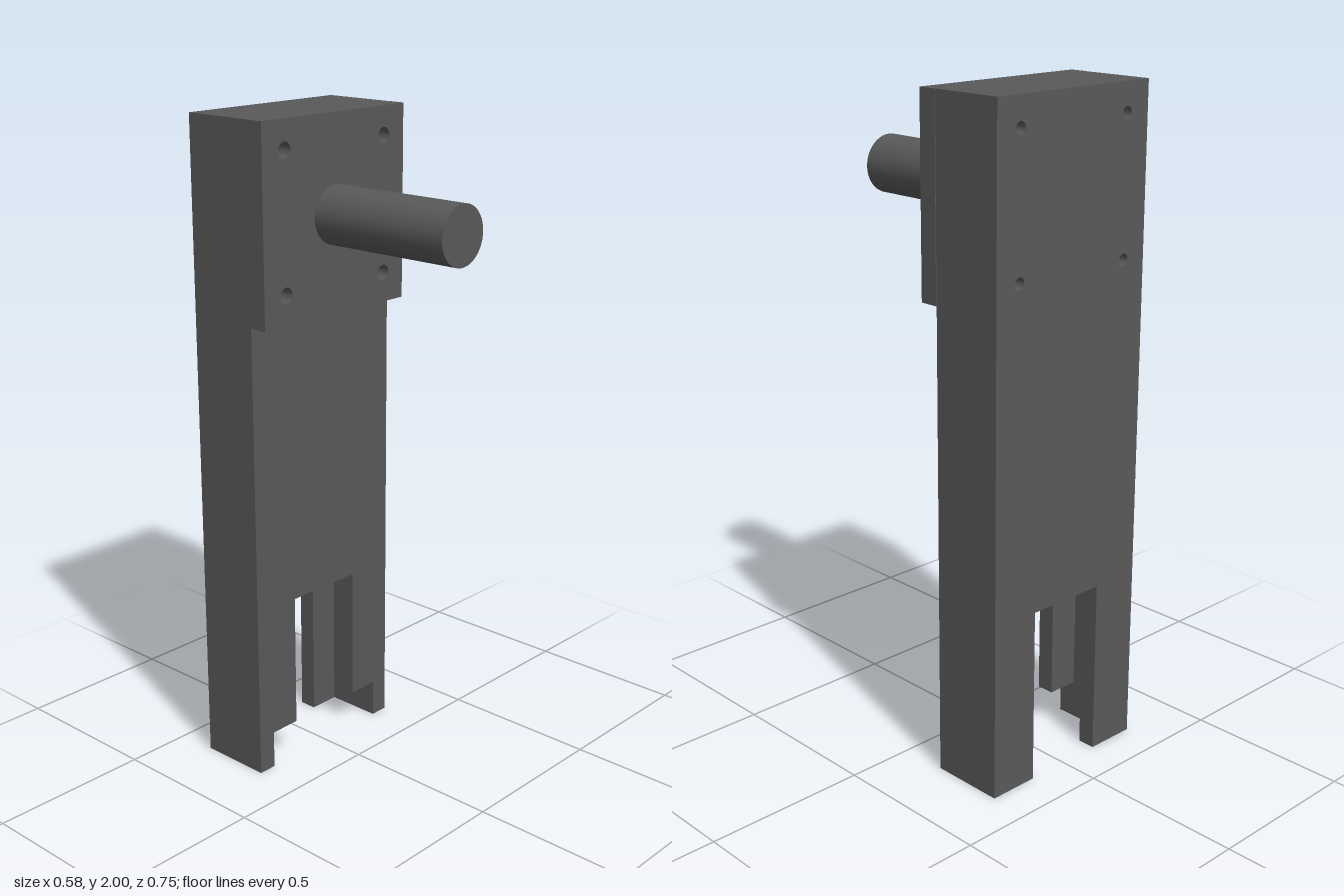
import * as THREE from 'three';

const W = 0.288, PLATE_W = 0.29, BACK = -0.377, FRONT = -0.146, PLATE = -0.088;
const SLOT = 0.13, CHANNEL = 0.23, WALL = 0.055;
const SLOT_TOP = 0.537, NOTCH_TOP = 0.118, PLATE_BOTTOM = 1.42;

export function createModel() {
  const group = new THREE.Group();
  const material = new THREE.MeshStandardMaterial({ color: 0x595959 });

  const add = (name, geometry) => {
    const mesh = new THREE.Mesh(geometry, material);
    mesh.name = name;
    group.add(mesh);
    return mesh;
  };

  // Upright slab between two heights and depths, drilled with four screw holes
  const drilledSlab = (name, w, y0, z0, z1, holeRadius) => {
    const shape = new THREE.Shape([[-w, y0], [w, y0], [w, 2], [-w, 2]].map(p => new THREE.Vector2(...p)));
    for (const x of [-0.204, 0.204]) for (const y of [1.508, 1.914]) {
      shape.holes.push(new THREE.Path().absarc(x, y, holeRadius, 0, Math.PI * 2, true));
    }
    const geometry = new THREE.ExtrudeGeometry(shape, { depth: z1 - z0, bevelEnabled: false, curveSegments: 24 });
    add(name, geometry.translate(0, 0, z0));
  };

  // Leg section: an (x, z) outline raised from y0 to y1
  const legSection = (name, outline, side, y0, y1) => {
    const shape = new THREE.Shape(outline.map(([x, z]) => new THREE.Vector2(side * x, -z)));
    const geometry = new THREE.ExtrudeGeometry(shape, { depth: y1 - y0, bevelEnabled: false });
    add(name, geometry.rotateX(-Math.PI / 2).translate(0, y0, 0));
  };

  drilledSlab('body', W, SLOT_TOP, BACK, FRONT, 0.018);
  drilledSlab('mountingPlate', PLATE_W, PLATE_BOTTOM, FRONT, PLATE, 0.024);

  // Legs: grooved on the inside, with the front lip cut away at the foot
  const foot = [[W, FRONT], [W, BACK], [SLOT, BACK], [SLOT, BACK + WALL], [CHANNEL, BACK + WALL], [CHANNEL, FRONT]];
  const grooved = [...foot.slice(0, 5), [CHANNEL, FRONT - WALL], [SLOT, FRONT - WALL], [SLOT, FRONT]];
  for (const [side, label] of [[1, 'left'], [-1, 'right']]) {
    legSection(label + 'Leg', grooved, side, NOTCH_TOP, SLOT_TOP);
    legSection(label + 'Foot', foot, side, 0, NOTCH_TOP);
  }

  // Round shaft standing out of the plate
  const length = -BACK - PLATE;
  const shaft = add('shaft', new THREE.CylinderGeometry(0.087, 0.087, length, 64).rotateX(Math.PI / 2));
  shaft.position.set(0, 1.711, PLATE + length / 2);

  return group;
}
